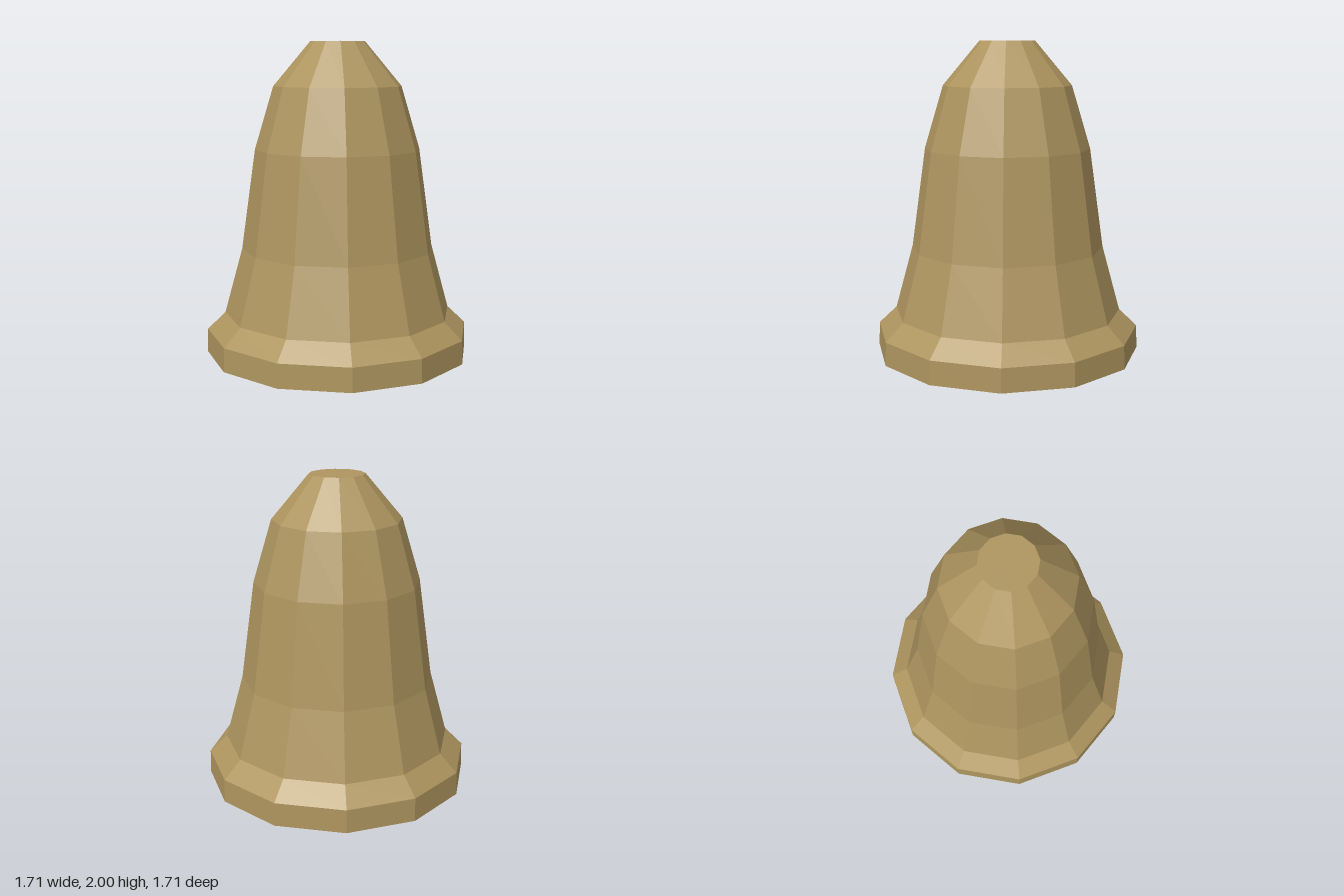
import * as THREE from 'three';

const SIDES = 12;

export function createModel() {
  const bell = new THREE.Group();
  bell.name = 'bell';
  const bronze = new THREE.MeshStandardMaterial({ color: 0xae955f });
  bronze.name = 'bronze';
  bronze.flatShading = true;

  // Turns a [radius, height] profile into a faceted ring of walls
  const turn = (name, profile) => {
    const points = profile.map(([r, y]) => new THREE.Vector2(r, y));
    const mesh = new THREE.Mesh(new THREE.LatheGeometry(points, SIDES), bronze);
    mesh.name = name;
    bell.add(mesh);
  };

  // Outer wall, from the shoulder above the rim up to the flat crown
  turn('outerWall', [
    [0.85, 0.15], [0.735, 0.26], [0.62, 0.68], [0.53, 1.32],
    [0.41, 1.72], [0.175, 2], [0, 2],
  ]);

  // Flared rim band with a bevelled inner lip
  turn('rim', [[0.78, 0.18], [0.78, 0.07], [0.855, 0], [0.85, 0.15]]);

  // Hollow inside, profile runs downward so it faces the axis
  turn('innerWall', [
    [0, 1.92], [0.14, 1.92], [0.34, 1.68], [0.455, 1.3],
    [0.545, 0.67], [0.665, 0.27], [0.78, 0.18],
  ]);

  return bell;
}
